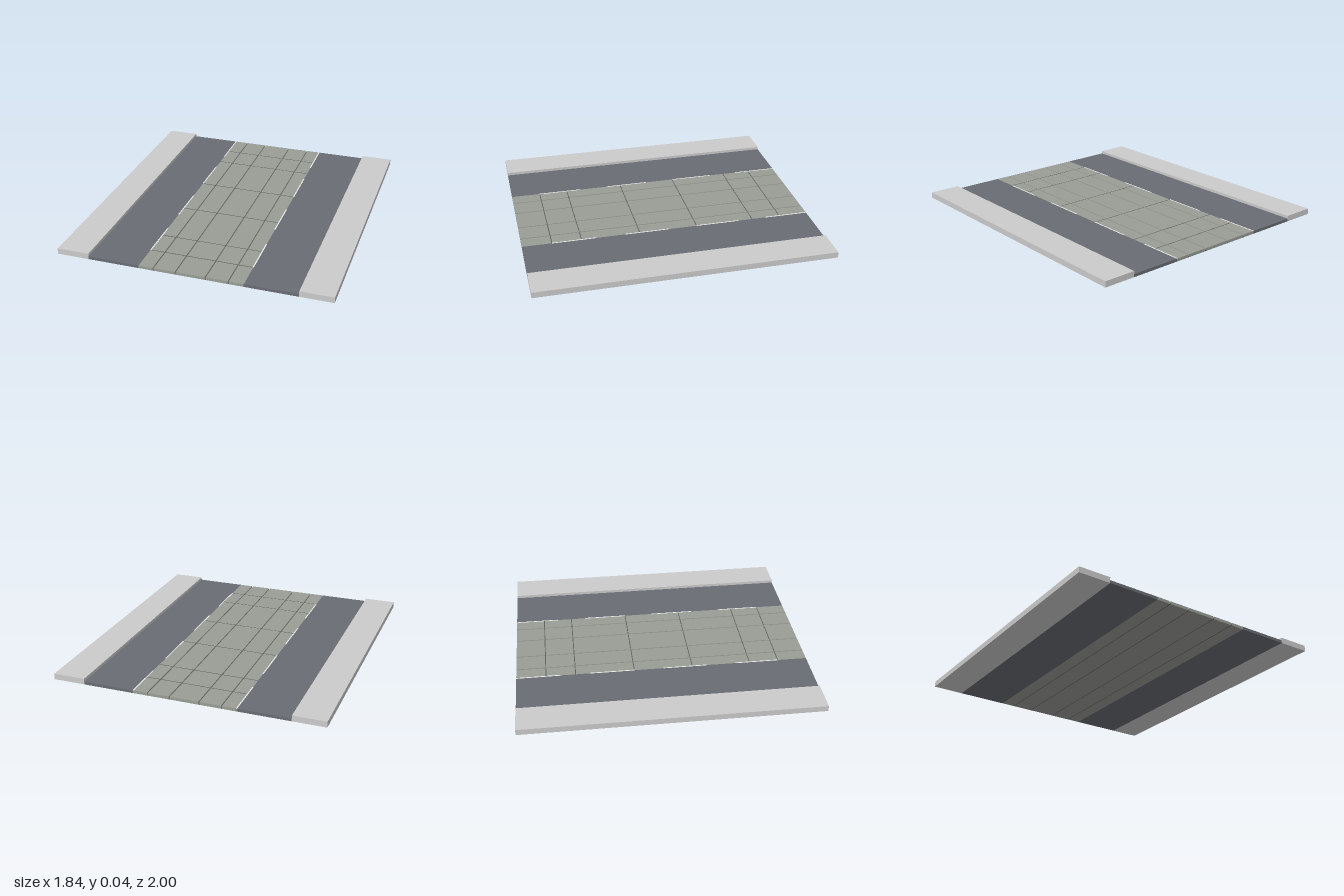
import * as THREE from 'three';

const LENGTH = 2;
const material = (color) => new THREE.MeshStandardMaterial({ color, flatShading: true });

export function createModel() {
  const group = new THREE.Group();
  const pavement = material(0xcccccc);
  const asphalt = material(0x696d73);
  const concrete = material(0x9a9d96);
  const groove = material(0x70736e);
  const seam = material(0x5c605c);
  const paint = material(0xeeeeea);

  // Box given by its extents along x, y and z
  function slab(name, mat, x0, x1, y0, y1, z0 = -LENGTH / 2, z1 = LENGTH / 2) {
    const mesh = new THREE.Mesh(new THREE.BoxGeometry(x1 - x0, y1 - y0, z1 - z0), mat);
    mesh.position.set((x0 + x1) / 2, (y0 + y1) / 2, (z0 + z1) / 2);
    mesh.name = name;
    group.add(mesh);
  }

  // Raised pavements and the asphalt lanes beside the track bed
  for (const side of [-1, 1]) {
    const span = (a, b) => (side > 0 ? [a, b] : [-b, -a]);
    const label = side > 0 ? 'left' : 'right';
    slab(`${label}Pavement`, pavement, ...span(0.7, 0.92), 0, 0.04);
    slab(`${label}Lane`, asphalt, ...span(0.35, 0.7), 0, 0.02);

    // Dashed lane markings
    for (let z = -1; z < 0.9; z += 0.5) {
      slab(`${label}LaneDash`, paint, ...span(0.345, 0.353), 0.018, 0.021, z, z + 0.3);
    }
  }

  // Track bed: concrete strips separated by sunken rail grooves
  const grooves = [-0.25, -0.1, 0.1, 0.25];
  const half = 0.004;
  let start = -0.35;
  for (const x of [...grooves, 0.35 + half]) {
    const end = x - half;
    slab('trackBedStrip', concrete, start, end, 0, 0.02);

    // Expansion seams across each strip
    for (const z of [-0.8, -0.6, -0.2, 0.2, 0.6, 0.8]) {
      slab('expansionSeam', seam, start, end, 0.018, 0.0204, z - 0.003, z + 0.003);
    }
    start = x + half;
  }
  for (const x of grooves) slab('railGroove', groove, x - half, x + half, 0, 0.01);

  return group;
}
